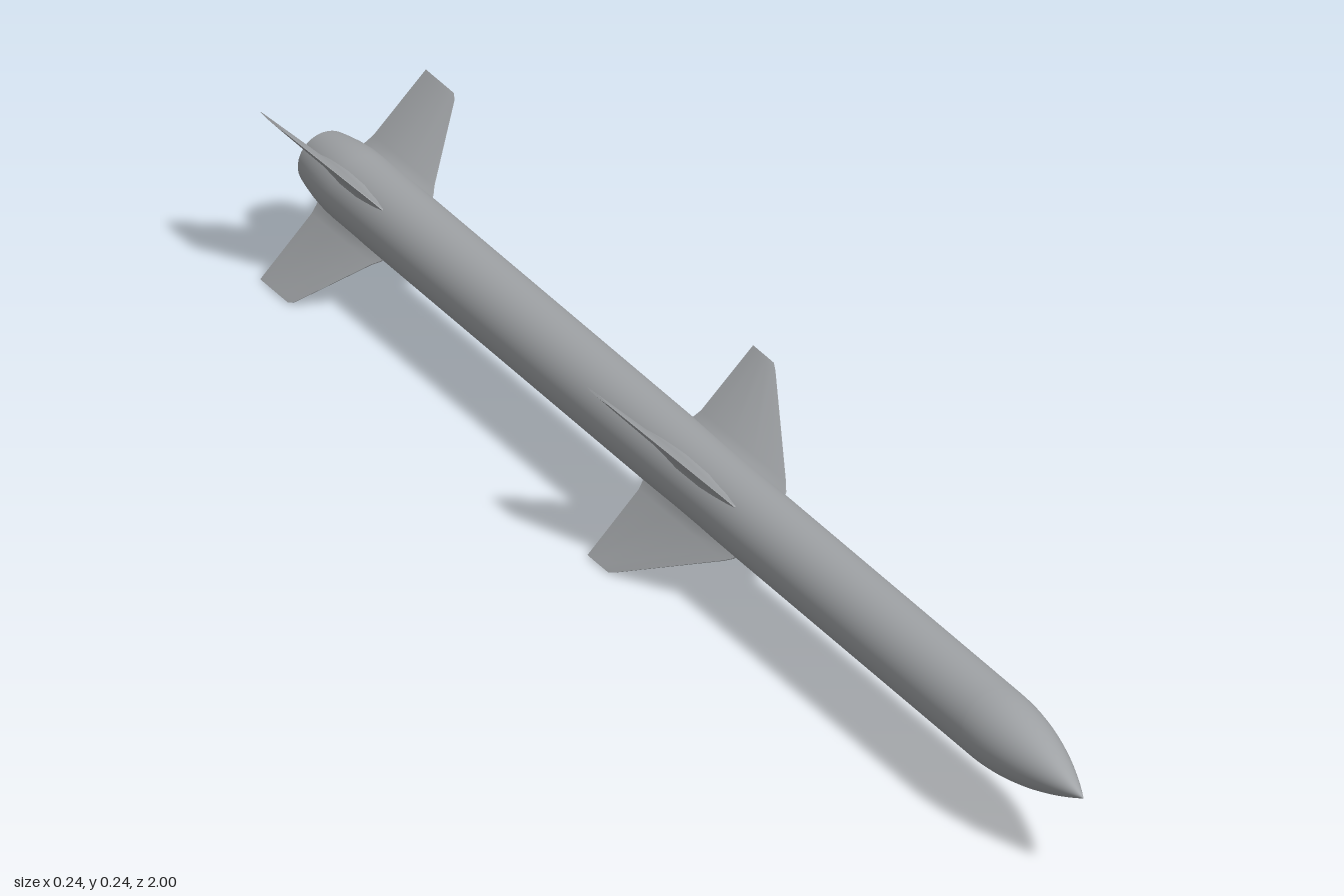
import * as THREE from 'three';
import { toCreasedNormals } from 'three/addons/utils/BufferGeometryUtils.js';

const AXIS_Y = 0.1215;
const R = 0.051;

// Revolve [radius, z] points (ordered back to front) around the z axis
function turned(points, name, material) {
  const profile = points.map(([r, z]) => new THREE.Vector2(r, z));
  const geometry = new THREE.LatheGeometry(profile, 48).rotateX(Math.PI / 2);
  const mesh = new THREE.Mesh(geometry, material);
  mesh.name = name;
  return mesh;
}

// Loft a lens-shaped section along y; stations are [radius, front z, back z, half thickness]
function finGeometry(stations) {
  const lens = [[0, 0.1], [0.12, 0.5], [0.35, 0.95], [0.6, 1], [0.85, 0.65], [1, 0.2]];
  const section = [...lens, ...lens.map(([u, t]) => [u, -t]).reverse()];
  const n = section.length;
  const positions = [];
  const index = [];
  for (const [r, front, back, half] of stations) {
    for (const [u, t] of section) positions.push(t * half, r, front + (back - front) * u);
  }
  for (let j = 0; j < stations.length - 1; j++) {
    for (let i = 0; i < n; i++) {
      const a = j * n + i;
      const b = j * n + (i + 1) % n;
      index.push(a, b, b + n, a, b + n, a + n);
    }
  }
  const tip = (stations.length - 1) * n;
  for (let i = 1; i < n - 1; i++) index.push(tip, tip + i, tip + i + 1);
  const geometry = new THREE.BufferGeometry();
  geometry.setAttribute('position', new THREE.Float32BufferAttribute(positions, 3));
  geometry.setIndex(index);
  return toCreasedNormals(geometry, 0.6);
}

// Four fins set in an X
function finSet(stations, name, material) {
  const set = new THREE.Group();
  set.name = name + 's';
  const geometry = finGeometry(stations);
  for (let k = 0; k < 4; k++) {
    const fin = new THREE.Mesh(geometry, material);
    fin.name = name;
    fin.rotation.z = Math.PI / 4 + k * Math.PI / 2;
    set.add(fin);
  }
  return set;
}

export function createModel() {
  const grey = new THREE.MeshStandardMaterial({ color: 0xa0a3a6 });
  grey.name = 'grey metal';

  const model = new THREE.Group();
  model.name = 'missile';
  const airframe = new THREE.Group();
  airframe.name = 'airframe';
  airframe.position.y = AXIS_Y;
  model.add(airframe);

  // Straight tube with a softly tapered tail
  airframe.add(turned([
    [0.040, -1], [0.043, -0.985], [0.047, -0.96], [0.050, -0.93], [R, -0.9], [R, -0.4], [R, 0.3], [R, 0.77],
  ], 'body', grey));

  // Pointed ogive nose
  const nose = [];
  for (let i = 0; i <= 14; i++) {
    const s = i / 14;
    nose.push([R * (1 - Math.pow(s, 1.9)), 0.77 + 0.23 * s]);
  }
  airframe.add(turned(nose, 'nose', grey));

  // Exhaust rim and recessed nozzle cone
  airframe.add(turned([[0.030, -1], [0.040, -1]], 'exhaustRim', grey));
  airframe.add(turned([[0, -0.945], [0.012, -0.95], [0.022, -0.972], [0.030, -1]], 'nozzle', grey));

  // Long swept wings amidships, flared at the root
  airframe.add(finSet([
    [0.045, 0.150, -0.095, 0.013], [0.054, 0.145, -0.093, 0.009], [0.064, 0.132, -0.09, 0.006],
    [0.164, -0.024, -0.09, 0.0018], [0.17, -0.036, -0.09, 0.0015],
  ], 'wing', grey));

  // Short tail fins
  airframe.add(finSet([
    [0.045, -0.780, -0.957, 0.012], [0.054, -0.785, -0.955, 0.008], [0.064, -0.795, -0.953, 0.0055],
    [0.164, -0.870, -0.953, 0.0018], [0.17, -0.880, -0.953, 0.0015],
  ], 'tailFin', grey));

  return model;
}
